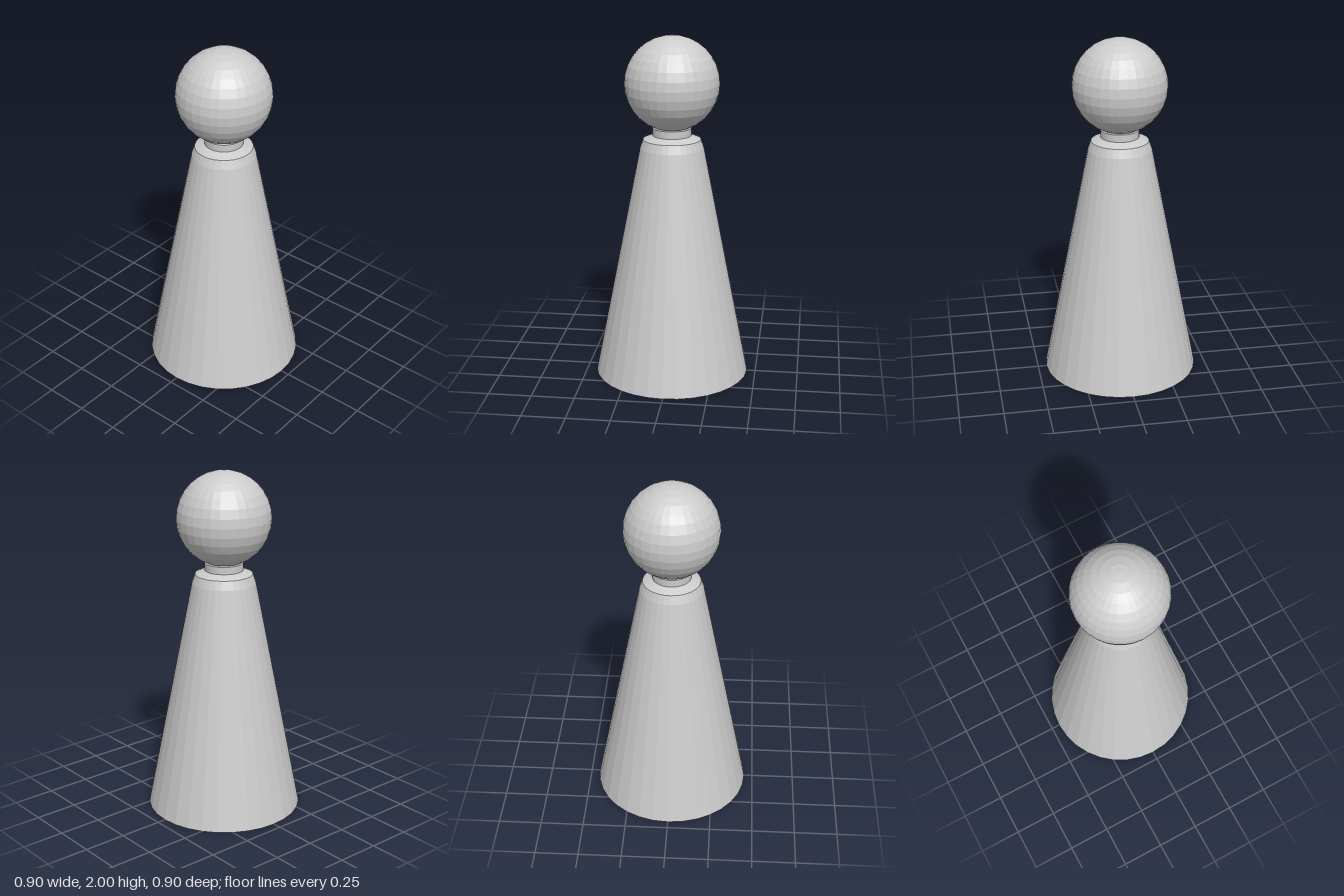
import * as THREE from 'three';

const SEGMENTS = 32;
const material = new THREE.MeshStandardMaterial({ color: 0xcccccc, flatShading: true });

function addPart(group, name, geometry, y = 0) {
  const mesh = new THREE.Mesh(geometry, material);
  mesh.name = name;
  mesh.position.y = y;
  group.add(mesh);
}

export function createModel() {
  const group = new THREE.Group();
  group.name = 'pawn';

  // Tapered body with a closed base and bevelled shoulder
  const profile = [
    [0, 0], [0.45, 0], [0.183, 1.36], [0.165, 1.41], [0.11, 1.432], [0, 1.432],
  ].map(([r, y]) => new THREE.Vector2(r, y));
  addPart(group, 'body', new THREE.LatheGeometry(profile, SEGMENTS));

  // Short neck disc under the head
  addPart(group, 'neck', new THREE.CylinderGeometry(0.11, 0.11, 0.05, SEGMENTS), 1.45);

  // Round head
  addPart(group, 'head', new THREE.SphereGeometry(0.27, SEGMENTS, 16), 1.73);

  return group;
}
